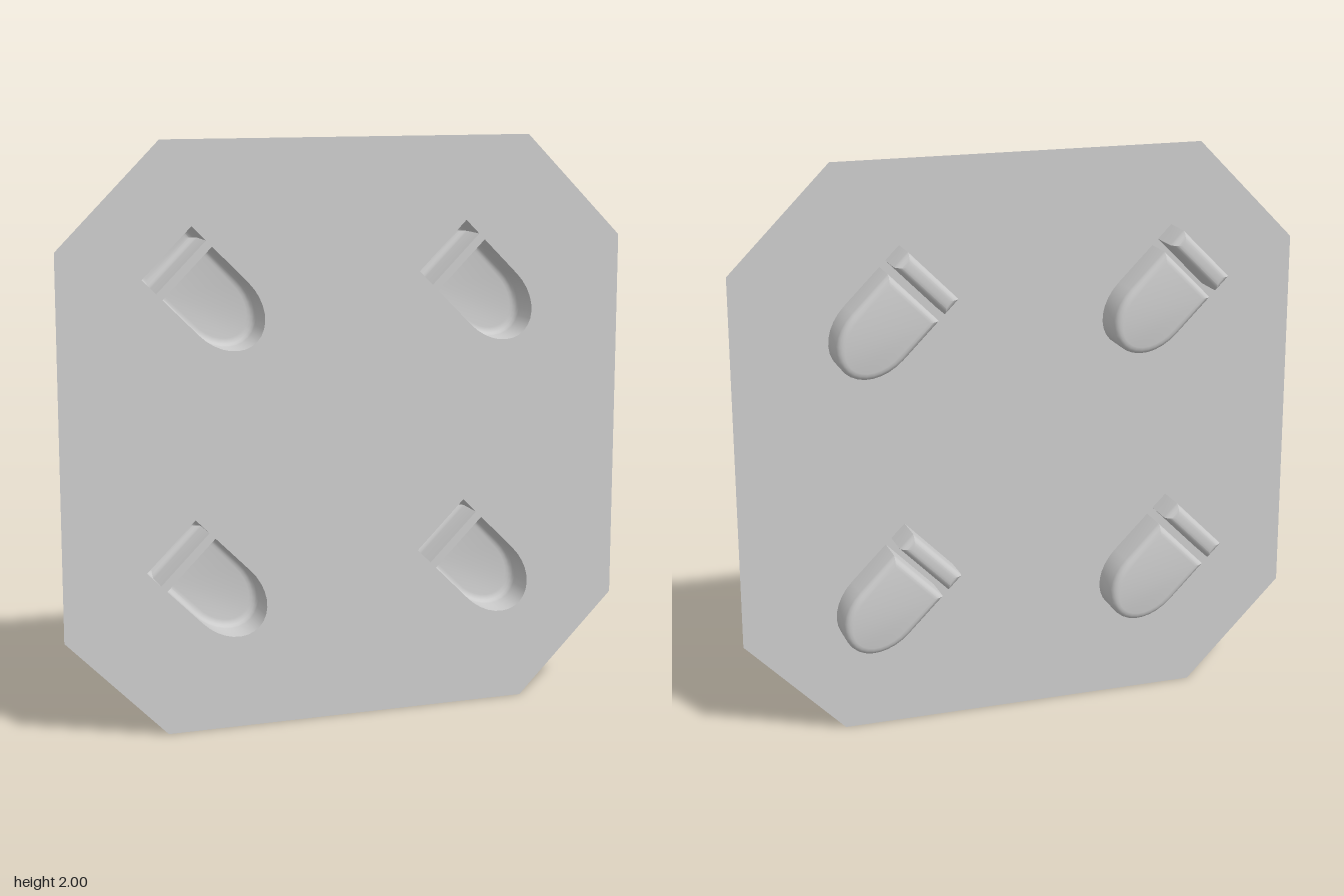
import * as THREE from 'three';
import { toCreasedNormals } from 'three/addons/utils/BufferGeometryUtils.js';

const FRONT = 0.066, BACK = -0.066, HALF = 0.12, ROUND = 0.026;
const material = new THREE.MeshStandardMaterial({ color: 0xcccccc, side: THREE.DoubleSide });

// Outlines in a footprint's own frame: x runs from heel to toe, d is the inset.
const heelOutline = (d) => [
  [d, -HALF + d], [0.068 - d, -HALF + d], [0.068 - d, HALF - d], [d, HALF - d],
].map(([x, y]) => new THREE.Vector2(x, y));

function soleOutline(d) {
  const points = [new THREE.Vector2(0.097 + d, -HALF + d)];
  for (let i = 0; i <= 16; i++) {
    const a = -Math.PI / 2 + (Math.PI * i) / 16;
    points.push(new THREE.Vector2(0.27 + (0.162 - d) * Math.cos(a), (HALF - d) * Math.sin(a)));
  }
  points.push(new THREE.Vector2(0.097 + d, HALF - d));
  return points;
}

// Open pocket: straight walls, a rounded lower edge and a flat floor.
function pocketGeometry(outline) {
  const rings = [[FRONT, 0]];
  for (let i = 0; i <= 4; i++) {
    const a = (Math.PI / 2) * (i / 4);
    rings.push([BACK + ROUND * (1 - Math.sin(a)), ROUND * (1 - Math.cos(a))]);
  }
  const n = outline(0).length, positions = [], index = [];
  for (const [z, d] of rings) for (const p of outline(d)) positions.push(p.x, p.y, z);
  for (let r = 0; r < rings.length - 1; r++) {
    for (let i = 0; i < n; i++) {
      const j = (i + 1) % n;
      const a = r * n + i, b = r * n + j, c = a + n, e = b + n;
      index.push(a, b, c, b, e, c);
    }
  }
  const floor = (rings.length - 1) * n;
  for (let i = 1; i < n - 1; i++) index.push(floor, floor + i, floor + i + 1);
  const geometry = new THREE.BufferGeometry();
  geometry.setAttribute('position', new THREE.Float32BufferAttribute(positions, 3));
  geometry.setIndex(index);
  return toCreasedNormals(geometry, 0.6);
}

export function createModel() {
  const model = new THREE.Group();
  model.name = 'footprintPlate';

  // Thin eight-sided plate
  const plate = new THREE.Shape([
    [-0.65, 0], [0.65, 0], [1, 0.353], [1, 1.647],
    [0.65, 2], [-0.65, 2], [-1, 1.647], [-1, 0.353],
  ].map(([x, y]) => new THREE.Vector2(x, y)));

  const parts = { heel: heelOutline, sole: soleOutline };
  const geometries = { heel: pocketGeometry(heelOutline), sole: pocketGeometry(soleOutline) };
  const angle = -Math.PI / 4;

  // Four footprints, each a heel and a sole pocket let into the plate
  for (const [x, y] of [[-0.631, 1.634], [0.338, 1.628], [-0.631, 0.652], [0.338, 0.652]]) {
    const footprint = new THREE.Group();
    footprint.name = 'footprint';
    footprint.position.set(x, y, 0);
    footprint.rotation.z = angle;
    for (const name in parts) {
      const pocket = new THREE.Mesh(geometries[name], material);
      pocket.name = name + 'Pocket';
      footprint.add(pocket);
      const rim = parts[name](0).map((p) =>
        p.rotateAround(new THREE.Vector2(), angle).add(new THREE.Vector2(x, y)));
      plate.holes.push(new THREE.Path(rim));
    }
    model.add(footprint);
  }

  const plateMesh = new THREE.Mesh(new THREE.ShapeGeometry(plate), material);
  plateMesh.name = 'plate';
  plateMesh.position.z = FRONT;
  model.add(plateMesh);
  return model;
}
